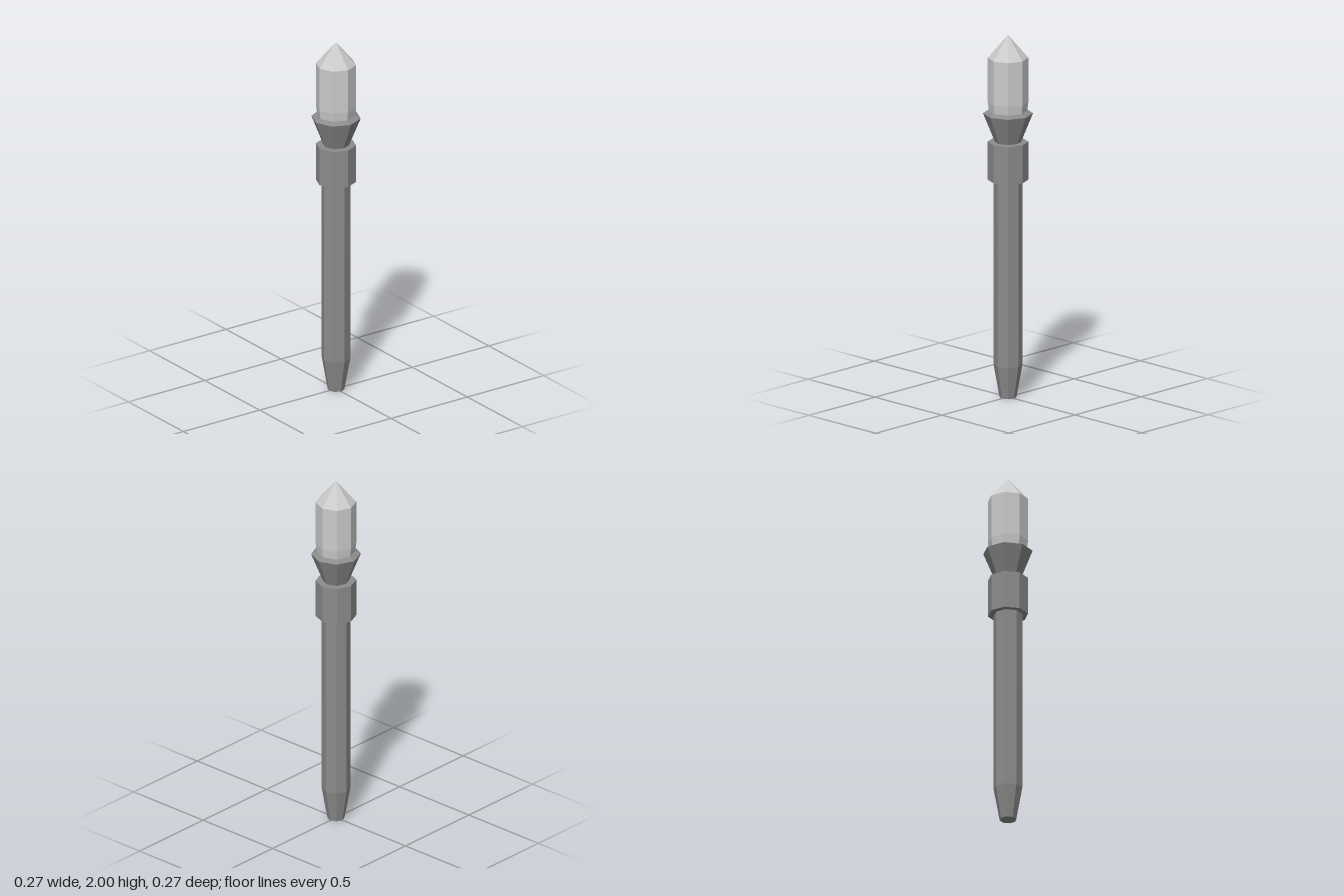
import * as THREE from 'three';

const SIDES = 8;

// Octagonal turned part from a bottom-to-top profile of [radius, height]
function turned(name, profile, material) {
  const points = profile.map(([r, y]) => new THREE.Vector2(r, y));
  const mesh = new THREE.Mesh(new THREE.LatheGeometry(points, SIDES), material);
  mesh.name = name;
  return mesh;
}

export function createModel() {
  const model = new THREE.Group();
  model.name = 'torch';

  const dark = new THREE.MeshStandardMaterial({ color: 0x8c8c8c, flatShading: true });
  const light = new THREE.MeshStandardMaterial({ color: 0xcccccc, flatShading: true });

  model.add(
    // Long handle with a tapered foot
    turned('handle', [[0, 0], [0.045, 0], [0.077, 0.18], [0.077, 1.21]], dark),
    // Thick band around the top of the handle
    turned('collar', [[0.07, 1.2], [0.108, 1.2], [0.108, 1.41], [0.06, 1.41]], dark),
    // Flared cup that holds the head
    turned('cup', [[0.07, 1.41], [0.133, 1.567], [0.1, 1.583], [0, 1.583]], dark),
    // Pointed head, slightly drawn in where it meets the cup
    turned('head', [[0.102, 1.58], [0.108, 1.63], [0.108, 1.873], [0, 2]], light),
  );

  return model;
}
